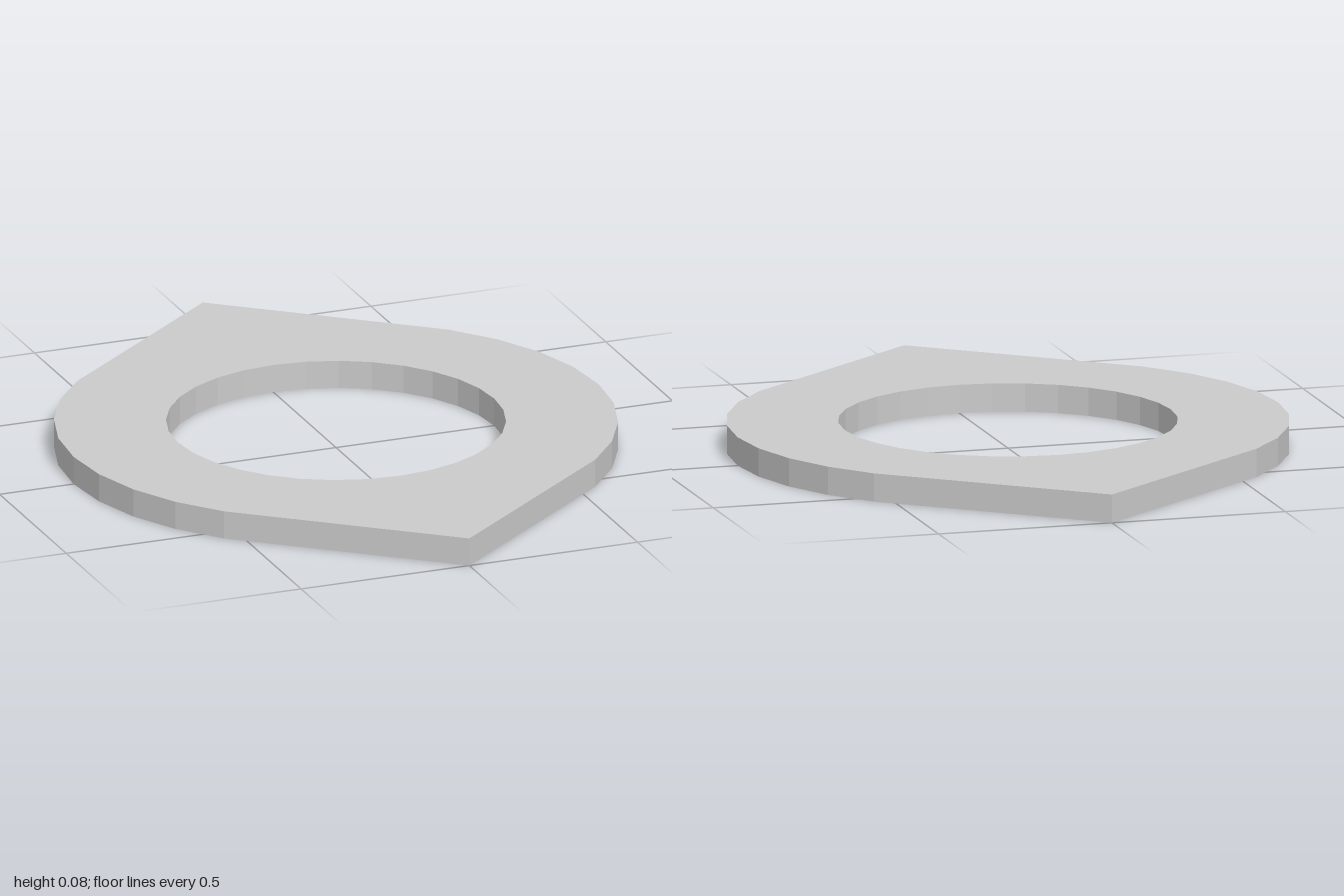
import * as THREE from 'three';

const OUTER = 0.78, INNER = 0.47, TIP = 1, THICKNESS = 0.08, SIDES = 32;

// Points on a circle, from one step of the 32-sided ring to another
function arc(radius, from, to) {
  const points = [];
  for (let i = from; i <= to; i++) {
    const a = (i / SIDES) * Math.PI * 2;
    points.push(new THREE.Vector2(radius * Math.cos(a), radius * Math.sin(a)));
  }
  return points;
}

export function createModel() {
  const group = new THREE.Group();
  group.name = 'pointedRing';

  // Outline: two quarter arcs joined by straight edges to a front and a back tip
  const outline = new THREE.Shape([
    ...arc(OUTER, -4, 4),
    new THREE.Vector2(0, TIP),
    ...arc(OUTER, 12, 20),
    new THREE.Vector2(0, -TIP),
  ]);

  // Round opening in the middle
  outline.holes.push(new THREE.Path(arc(INNER, 0, SIDES - 1).reverse()));

  // Flat plate lying on the ground
  const geometry = new THREE.ExtrudeGeometry(outline, { depth: THICKNESS, bevelEnabled: false });
  geometry.rotateX(-Math.PI / 2);
  const plate = new THREE.Mesh(
    geometry,
    new THREE.MeshStandardMaterial({ color: 0xcccccc, flatShading: true })
  );
  plate.name = 'ringPlate';
  group.add(plate);
  return group;
}
